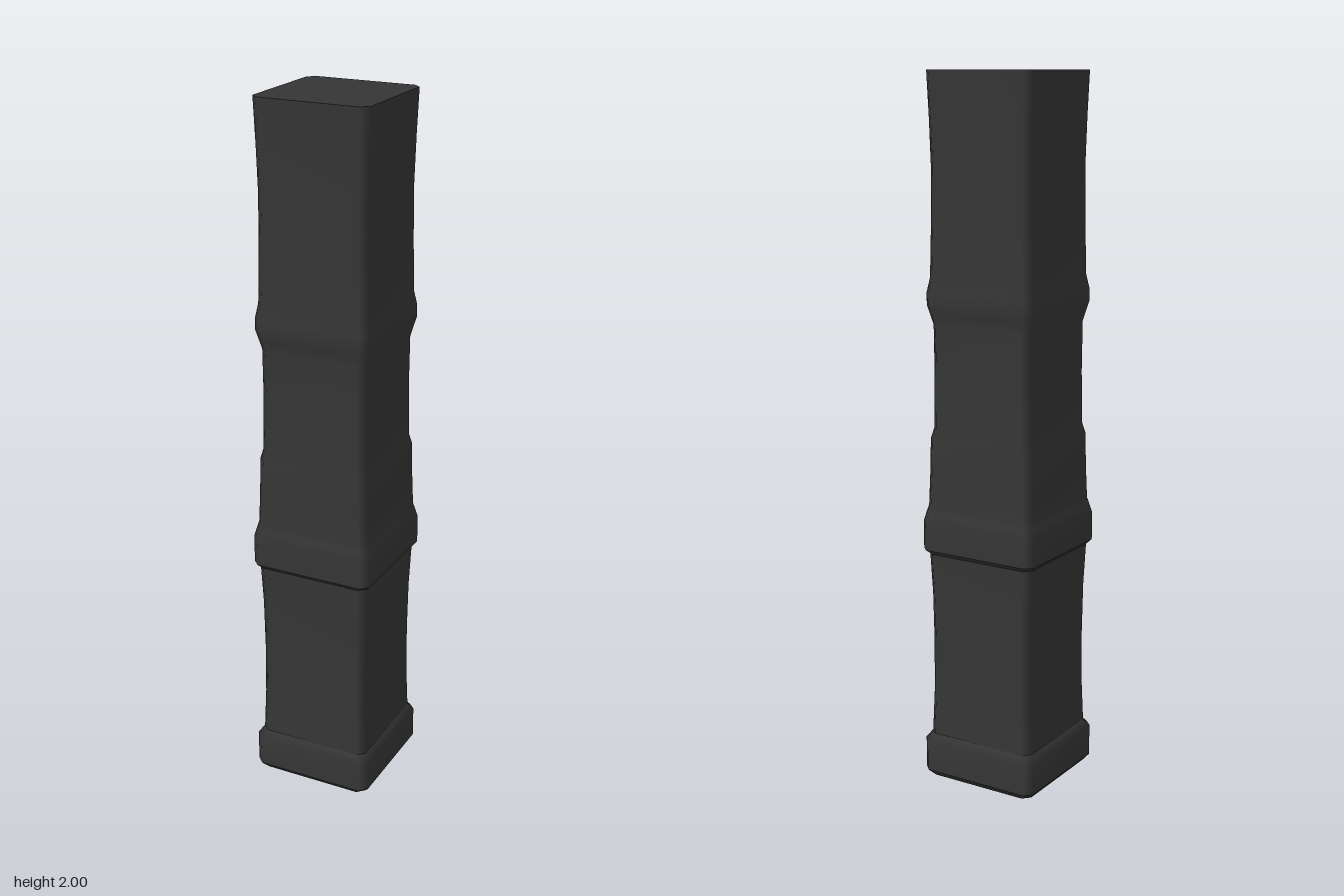
import * as THREE from 'three';

const charcoal = new THREE.MeshStandardMaterial({ color: 0x353535 });
charcoal.name = 'charcoal';

// Chamfered square, as x/z pairs running from +x towards +z
function ring(y, h) {
  const c = h - 0.02;
  return [[h, -c], [h, c], [c, h], [-c, h], [-h, c], [-h, -c], [-c, -h], [c, -h]]
    .map(([x, z]) => [x, y, z]);
}

// Smooth skin through rings given as [height, half width]
function loft(name, profile) {
  const points = profile.flatMap(([y, h]) => ring(y, h)).flat();
  const index = [];
  for (let r = 0; r < profile.length - 1; r++) {
    for (let i = 0; i < 8; i++) {
      const a = r * 8 + i, b = r * 8 + (i + 1) % 8;
      index.push(a, a + 8, b, b, a + 8, b + 8);
    }
  }
  return makeMesh(name, points, index);
}

// Flat end face
function cap(name, y, h, up) {
  const index = [];
  for (let i = 1; i < 7; i++) index.push(0, up ? i + 1 : i, up ? i : i + 1);
  return makeMesh(name, ring(y, h).flat(), index);
}

function makeMesh(name, points, index) {
  const g = new THREE.BufferGeometry();
  g.setAttribute('position', new THREE.Float32BufferAttribute(points, 3));
  g.setIndex(index);
  g.computeVertexNormals();
  const mesh = new THREE.Mesh(g, charcoal);
  mesh.name = name;
  return mesh;
}

export function createModel() {
  const group = new THREE.Group();
  group.name = 'pillar';
  group.add(
    cap('bottomFace', 0, 0.166, false),
    // Foot with bevelled lower edge
    loft('footBevel', [[0, 0.166], [0.018, 0.181]]),
    loft('foot', [[0.018, 0.181], [0.11, 0.181], [0.13, 0.167]]),
    // Slightly waisted lower shaft
    loft('lowerShaft', [[0.13, 0.167], [0.25, 0.163], [0.4, 0.162], [0.55, 0.164], [0.672, 0.169]]),
    // Collar flowing up into the middle shaft, upper swelling and top
    loft('collarUnderside', [[0.67, 0.168], [0.684, 0.181]]),
    loft('upperShaft', [
      [0.684, 0.181], [0.765, 0.181], [0.79, 0.175], [0.81, 0.17], [0.9, 0.167], [1.0, 0.165],
      [1.03, 0.158], [1.18, 0.156], [1.32, 0.157], [1.35, 0.164], [1.375, 0.17], [1.41, 0.17],
      [1.45, 0.163], [1.6, 0.16], [1.75, 0.159], [1.88, 0.162], [2, 0.166],
    ]),
    cap('topFace', 2, 0.166, true),
  );
  return group;
}
